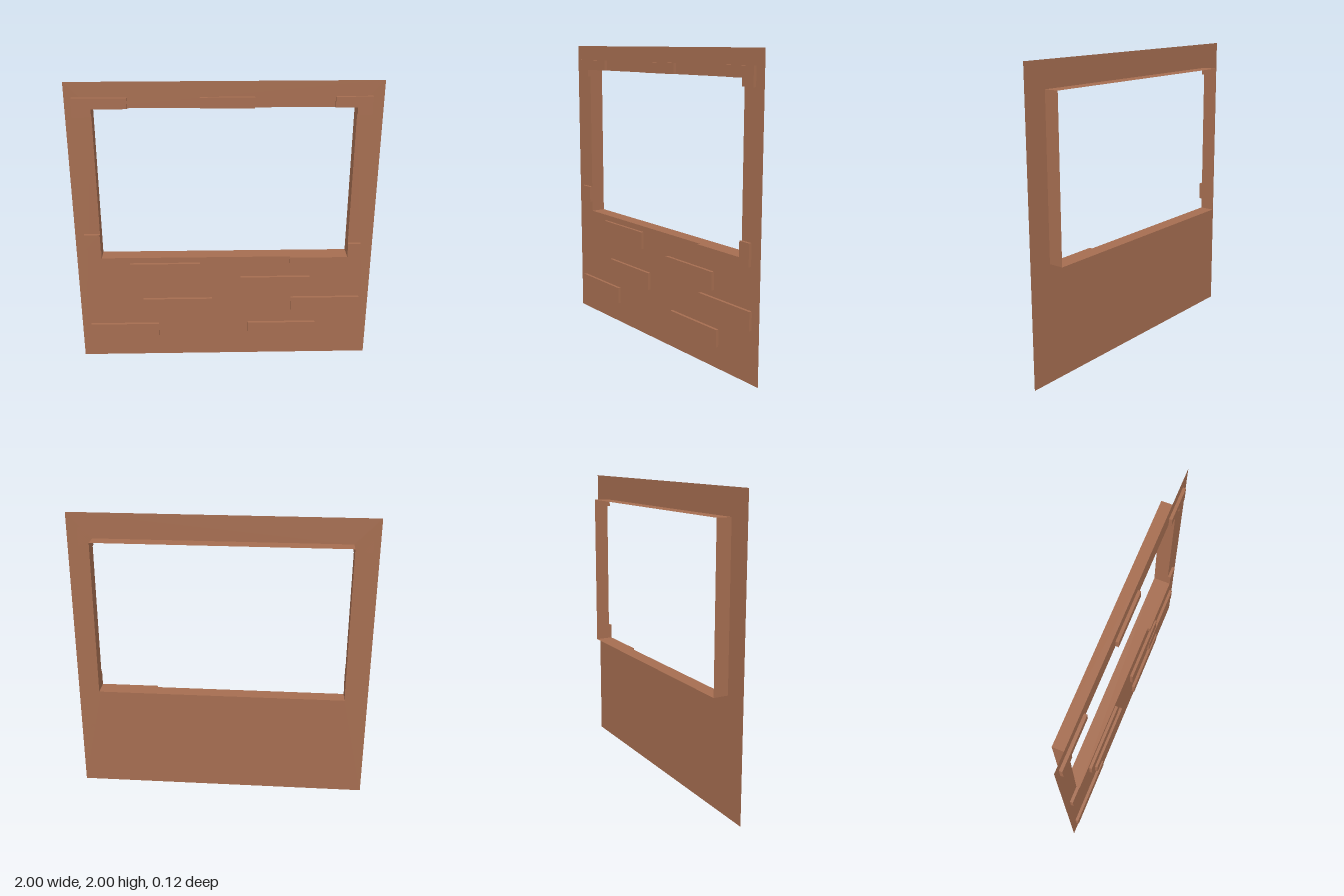
import * as THREE from 'three';

const WALL_Z = 0.04, BACK_Z = -0.06, BRICK_DEPTH = 0.02;
const WIN = { x: 0.835, y0: 0.775, y1: 1.83 };

function outline(points, Type = THREE.Shape) {
  return new Type(points.map(([x, y]) => new THREE.Vector2(x, y)));
}

function rect(x0, x1, y0, y1) {
  return [[x0, y0], [x1, y0], [x1, y1], [x0, y1]];
}

export function createModel() {
  const model = new THREE.Group();
  model.name = 'windowWall';
  const brickBrown = new THREE.MeshStandardMaterial({ color: 0xa56d50, side: THREE.DoubleSide });
  brickBrown.name = 'brickBrown';

  const add = (name, geometry, parent = model) => {
    const mesh = new THREE.Mesh(geometry, brickBrown);
    mesh.name = name;
    parent.add(mesh);
    return mesh;
  };

  // Flat wall sheet with the window opening
  const wallShape = outline(rect(-1, 1, 0, 2));
  wallShape.holes.push(outline(rect(-WIN.x, WIN.x, WIN.y0, WIN.y1), THREE.Path));
  add('wall', new THREE.ShapeGeometry(wallShape)).position.z = WALL_Z;

  // Four thin linings running back from the opening
  const reveal = new THREE.Group();
  reveal.name = 'windowReveal';
  model.add(reveal);
  const depth = WALL_Z - BACK_Z, midZ = (WALL_Z + BACK_Z) / 2;
  const height = WIN.y1 - WIN.y0, midY = (WIN.y0 + WIN.y1) / 2;
  for (const side of [-1, 1]) {
    const jamb = new THREE.PlaneGeometry(depth, height).rotateY(-side * Math.PI / 2);
    add(side > 0 ? 'leftJamb' : 'rightJamb', jamb, reveal).position.set(side * WIN.x, midY, midZ);
    const ledge = new THREE.PlaneGeometry(2 * WIN.x, depth).rotateX(side * Math.PI / 2);
    add(side > 0 ? 'windowHead' : 'windowSill', ledge, reveal)
      .position.set(0, side > 0 ? WIN.y1 : WIN.y0, midZ);
  }

  // Raised bricks; those at the opening's corners are notched around it
  const bricks = [
    [[-0.955, 1.78], [-WIN.x, 1.78], [-WIN.x, WIN.y1], [-0.61, WIN.y1], [-0.61, 1.9], [-0.955, 1.9]],
    [[0.93, 1.78], [0.93, 1.9], [0.695, 1.9], [0.695, WIN.y1], [WIN.x, WIN.y1], [WIN.x, 1.78]],
    [[0.445, 0.73], [0.92, 0.73], [0.92, 0.875], [WIN.x, 0.875], [WIN.x, WIN.y0], [0.445, WIN.y0]],
    rect(-0.155, 0.19, WIN.y1, 1.9),
    rect(-0.94, -WIN.x, 0.845, 0.96),
    rect(-0.645, -0.17, 0.615, 0.735),
    rect(0.11, 0.585, 0.505, 0.625),
    rect(-0.565, -0.09, 0.34, 0.46),
    rect(0.46, 0.935, 0.34, 0.46),
    rect(-0.94, -0.465, 0.145, 0.26),
    rect(0.16, 0.635, 0.145, 0.26),
  ];
  const brickGroup = new THREE.Group();
  brickGroup.name = 'raisedBricks';
  brickGroup.position.z = WALL_Z;
  model.add(brickGroup);
  bricks.forEach((points, i) => add(`brick${i + 1}`,
    new THREE.ExtrudeGeometry(outline(points), { depth: BRICK_DEPTH, bevelEnabled: false }), brickGroup));

  return model;
}
